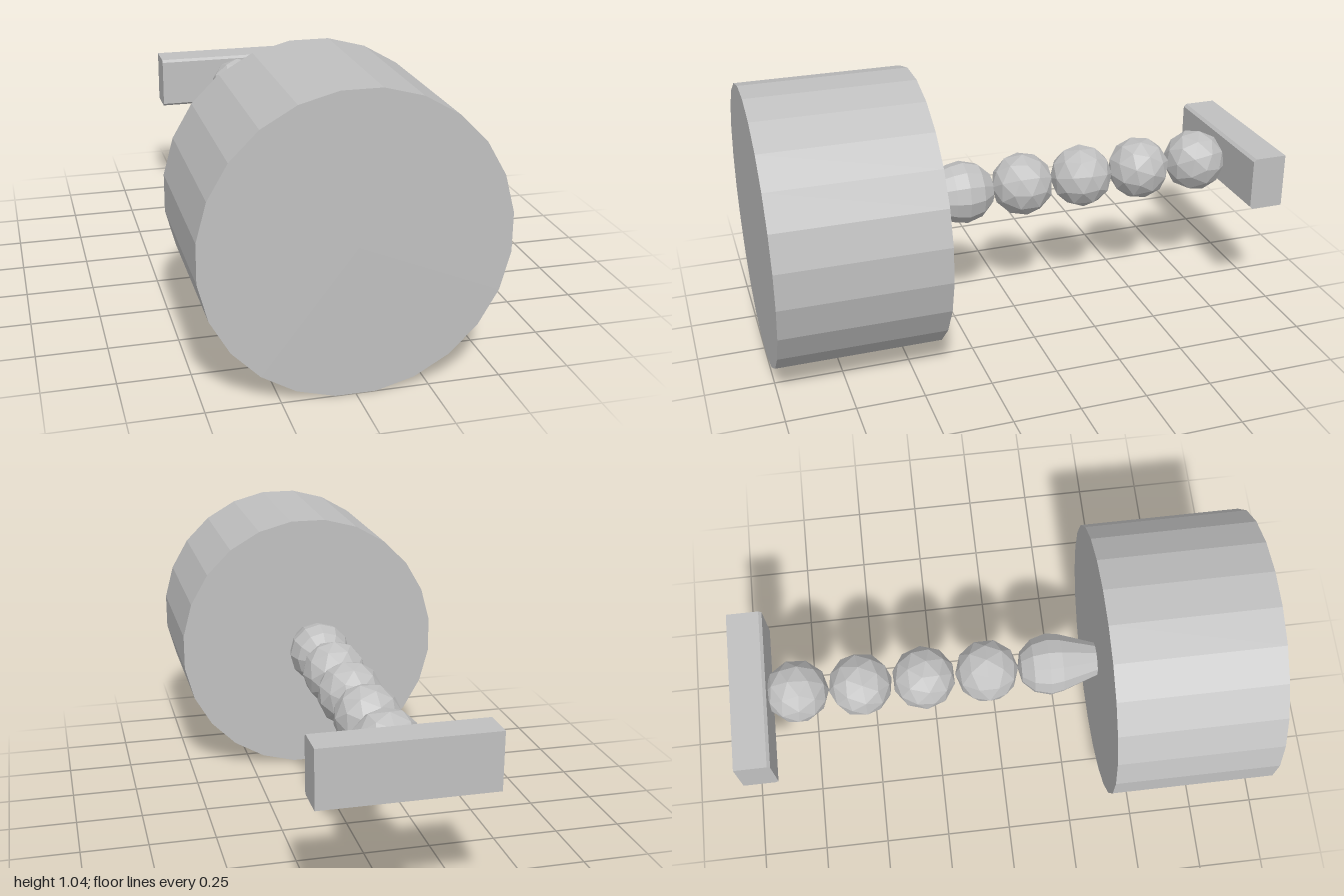
import * as THREE from 'three';

export function createModel() {
  const model = new THREE.Group();
  const grey = new THREE.MeshStandardMaterial({ color: 0xc0c0c0, flatShading: true });
  grey.name = 'grey';

  function add(name, geometry, x, y, z) {
    const mesh = new THREE.Mesh(geometry, grey);
    mesh.name = name;
    mesh.position.set(x, y, z);
    model.add(mesh);
    return mesh;
  }

  // Large faceted drum with its axis along z
  const drum = new THREE.CylinderGeometry(0.522, 0.522, 0.613, 24);
  drum.rotateY(Math.PI / 24).rotateX(Math.PI / 2);
  add('drum', drum, 0, 0.518, 0.6935);

  // Teardrop bead: round at the back, narrowing into the drum
  const profile = [
    [0, -0.118], [0.06, -0.105], [0.103, -0.06], [0.12, 0],
    [0.111, 0.05], [0.062, 0.19], [0, 0.19],
  ].map(([r, h]) => new THREE.Vector2(r, h));
  const teardrop = new THREE.LatheGeometry(profile, 12);
  teardrop.rotateX(Math.PI / 2);
  add('teardropBead', teardrop, -0.004, 0.537, 0.203);

  // Chain of round low-poly beads
  for (let i = 0; i < 4; i++) {
    const bead = new THREE.IcosahedronGeometry(0.122, 1);
    bead.rotateZ(i * 0.7).rotateX(i * 1.1);
    add('bead' + (i + 1), bead, -0.004, 0.537, -0.034 - i * 0.243);
  }

  // Crossbar at the back, with slightly chamfered front edges
  const section = new THREE.Shape([
    [-1, 0.437], [-0.877, 0.437], [-0.866, 0.447],
    [-0.866, 0.636], [-0.877, 0.646], [-1, 0.646],
  ].map(([z, y]) => new THREE.Vector2(z, y)));
  const bar = new THREE.ExtrudeGeometry(section, { depth: 0.62, bevelEnabled: false });
  bar.rotateY(-Math.PI / 2);
  add('crossbar', bar, 0.296, 0, 0);

  return model;
}
